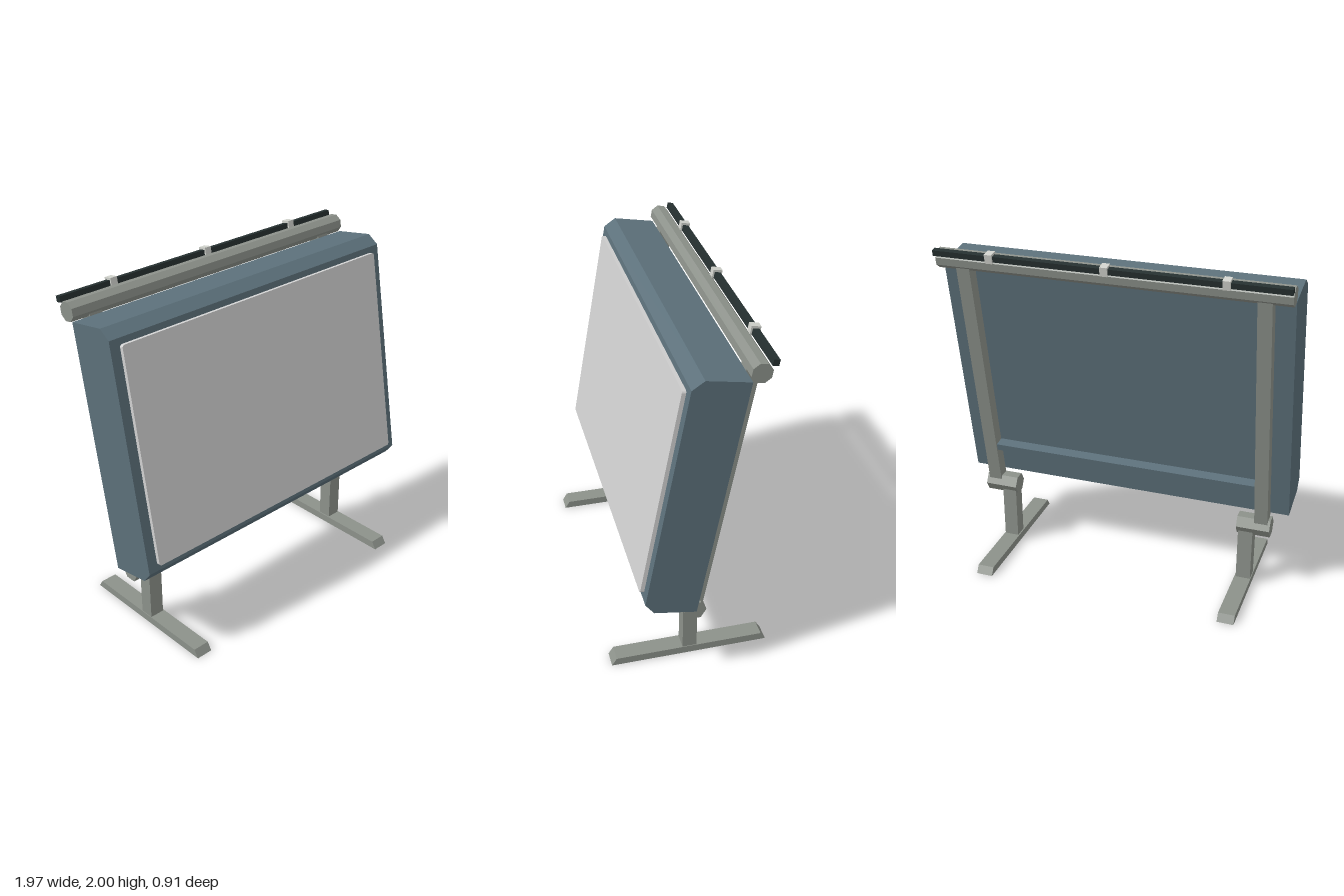
import * as THREE from 'three';

const material = (name, color) => {
  const m = new THREE.MeshStandardMaterial({ color });
  m.name = name;
  return m;
};

export function createModel() {
  const casing = material('blue grey casing', 0x5c707a);
  const metal = material('grey metal', 0x8c918a);
  const panel = material('light panel', 0xd2d2d2);
  const dark = material('dark rail', 0x263030);
  const clipPaint = material('pale clip', 0xd0d2cc);

  const model = new THREE.Group();
  model.name = 'tiltingDisplayStand';

  function add(parent, name, geometry, mat, x = 0, y = 0, z = 0) {
    const mesh = new THREE.Mesh(geometry, mat);
    mesh.name = name;
    mesh.position.set(x, y, z);
    parent.add(mesh);
    return mesh;
  }
  const box = (w, h, d) => new THREE.BoxGeometry(w, h, d);

  // Side profile given as [z, y] points, extruded across x
  function sideProfile(points, width) {
    const shape = new THREE.Shape(points.map(([z, y]) => new THREE.Vector2(z, y)));
    const g = new THREE.ExtrudeGeometry(shape, { depth: width, bevelEnabled: false });
    return g.translate(0, 0, -width / 2).rotateY(-Math.PI / 2);
  }

  // Faceted bar lying along x
  function facetedBar(radius, length, sides, turn = 0) {
    const g = new THREE.CylinderGeometry(radius, radius, length, sides);
    const flat = g.rotateY(turn).rotateZ(Math.PI / 2).toNonIndexed();
    flat.computeVertexNormals();
    return flat;
  }

  // Rounded rectangle, extruded towards the front
  function roundedPanel(w, h, r, depth) {
    const s = new THREE.Shape();
    const x = w / 2, y = h / 2;
    s.absarc(x - r, y - r, r, 0, Math.PI / 2);
    s.absarc(-x + r, y - r, r, Math.PI / 2, Math.PI);
    s.absarc(-x + r, -y + r, r, Math.PI, Math.PI * 1.5);
    s.absarc(x - r, -y + r, r, Math.PI * 1.5, Math.PI * 2);
    return new THREE.ExtrudeGeometry(s, { depth, bevelEnabled: false, curveSegments: 4 });
  }

  // Feet, posts and hinges
  for (const side of [-1, 1]) {
    const stand = new THREE.Group();
    stand.name = side > 0 ? 'leftStand' : 'rightStand';
    model.add(stand);
    const foot = [[-0.453, 0], [0.453, 0], [0.425, 0.045], [-0.425, 0.045]];
    add(stand, 'foot', sideProfile(foot, 0.098), metal, side * 0.748);
    add(stand, 'post', box(0.086, 0.345, 0.082), metal, side * 0.75, 0.2175);
    add(stand, 'hinge', facetedBar(0.062, 0.196, 6), metal, side * 0.795, 0.402);
  }

  // Everything above the hinges leans back
  const tilt = new THREE.Group();
  tilt.name = 'tiltingFrame';
  tilt.position.y = 0.4;
  tilt.rotation.x = -THREE.MathUtils.degToRad(10);
  model.add(tilt);

  // Casing with chamfered front top and bottom edges
  const body = [
    [0.036, 0.08], [0.273, 0.08], [0.331, 0.135],
    [0.331, 1.436], [0.273, 1.492], [0.036, 1.492],
  ];
  add(tilt, 'casing', sideProfile(body, 1.974), casing);
  add(tilt, 'frontPanel', roundedPanel(1.856, 1.232, 0.015, 0.022), panel, 0, 0.785, 0.331);

  // Rear frame
  for (const side of [-1, 1]) {
    add(tilt, side > 0 ? 'leftArm' : 'rightArm', box(0.078, 1.53, 0.073), metal, side * 0.839, 0.765, 0);
  }
  add(tilt, 'topBar', facetedBar(0.0555, 1.974, 8, Math.PI / 8), metal, 0, 1.541, 0);
  add(tilt, 'rearLedge', box(1.602, 0.04, 0.066), casing, 0, 0.285, 0.005);

  // Slim rail held by three clips
  add(tilt, 'rail', box(1.974, 0.033, 0.033), dark, 0, 1.6, -0.056);
  for (const x of [-0.652, 0, 0.652]) {
    add(tilt, 'railClip', box(0.042, 0.052, 0.052), clipPaint, x, 1.603, -0.056);
  }

  return model;
}
